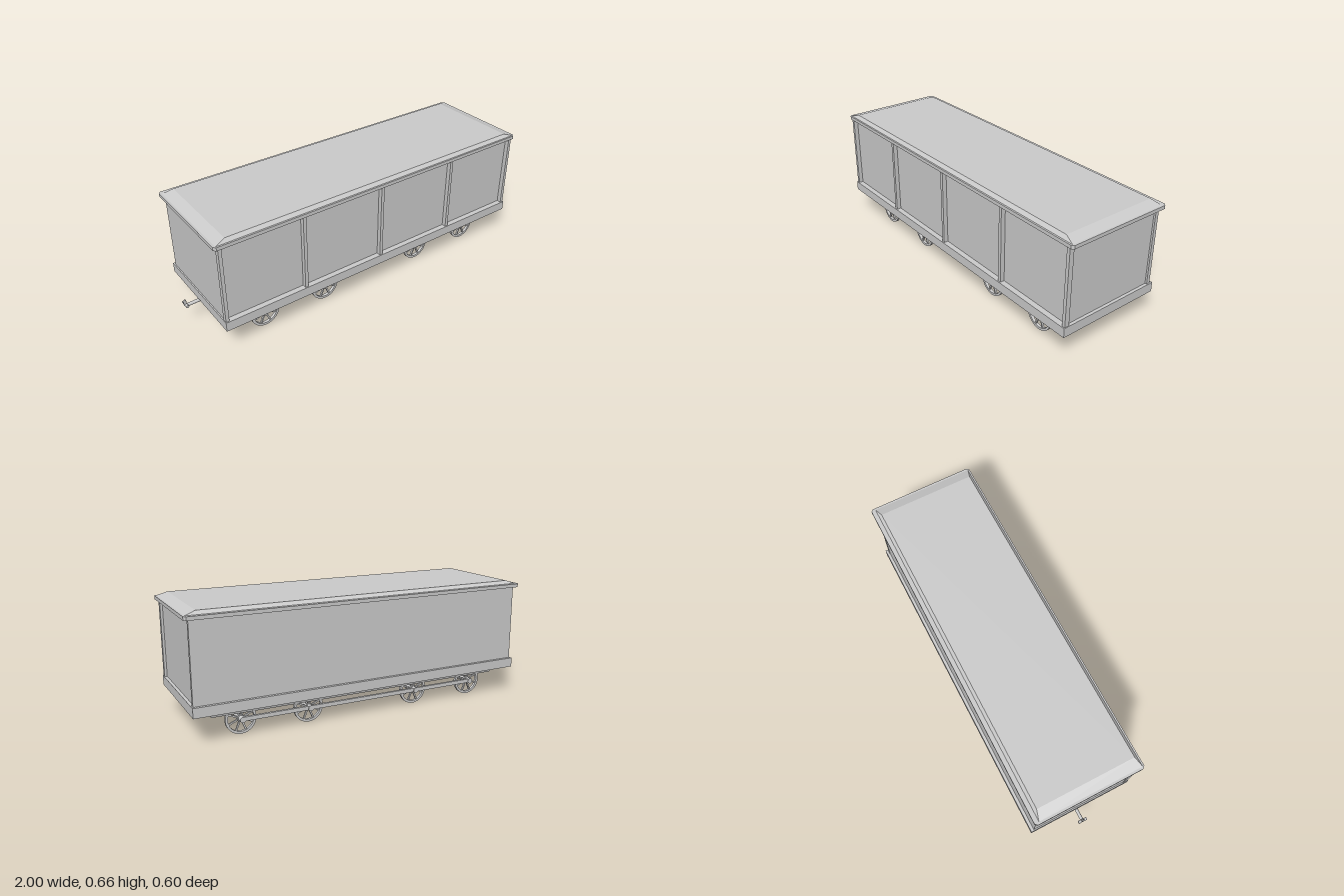
import * as THREE from 'three';

const mat = new THREE.MeshStandardMaterial({ color: 0xcccccc, flatShading: true });
const smooth = new THREE.MeshStandardMaterial({ color: 0xcccccc });

export function createModel() {
  const model = new THREE.Group();

  const add = (name, geometry, parent = model, material = mat) => {
    const mesh = new THREE.Mesh(geometry, material);
    mesh.name = name;
    parent.add(mesh);
    return mesh;
  };

  // Box given by its limits on each axis
  const box = (name, x0, x1, y0, y1, z0, z1, parent) => {
    const mesh = add(name, new THREE.BoxGeometry(x1 - x0, y1 - y0, z1 - z0), parent);
    mesh.position.set((x0 + x1) / 2, (y0 + y1) / 2, (z0 + z1) / 2);
    return mesh;
  };

  // Box whose top (grow > 0: bottom) is drawn in by dx and dz on every side
  const taperedBox = (name, x0, x1, y0, y1, z0, z1, dx, dz, narrowTop) => {
    const mesh = box(name, x0, x1, y0, y1, z0, z1);
    const p = mesh.geometry.attributes.position;
    for (let i = 0; i < p.count; i++) {
      if ((p.getY(i) > 0) !== narrowTop) continue;
      p.setX(i, p.getX(i) - Math.sign(p.getX(i)) * dx);
      p.setZ(i, p.getZ(i) - Math.sign(p.getZ(i)) * dz);
    }
    mesh.geometry.computeVertexNormals();
    return mesh;
  };

  // Cylinder between two points
  const rod = (name, a, b, radius, sides = 16, parent = model) => {
    const from = new THREE.Vector3(...a), to = new THREE.Vector3(...b);
    const dir = to.clone().sub(from);
    const mesh = add(name, new THREE.CylinderGeometry(radius, radius, dir.length(), sides), parent, smooth);
    mesh.position.copy(from).add(to).multiplyScalar(0.5);
    mesh.quaternion.setFromUnitVectors(new THREE.Vector3(0, 1, 0), dir.normalize());
    return mesh;
  };

  // Body: sill, walls, and posts dividing the front into four panels
  box('sill', -0.915, 0.978, 0.15, 0.202, -0.295, 0.302);
  box('walls', -0.908, 0.962, 0.2, 0.624, -0.278, 0.272);
  for (const x of [-0.903, -0.45, 0.03, 0.51, 0.966])
    box('frontPost', x - 0.009, x + 0.009, 0.2, 0.624, 0.27, 0.296);
  box('backCornerPost', 0.95, 0.972, 0.2, 0.624, -0.28, -0.26);

  // Roof: slab with softened corners and a low hipped cap
  const slab = new THREE.Shape();
  const c = 0.012;
  slab.moveTo(-0.932 + c, -0.302);
  [[0.996 - c, -0.302], [0.996, -0.302 + c], [0.996, 0.302 - c], [0.996 - c, 0.302],
    [-0.932 + c, 0.302], [-0.932, 0.302 - c], [-0.932, -0.302 + c]].forEach(([x, z]) => slab.lineTo(x, z));
  slab.closePath();
  const slabMesh = add('roofSlab', new THREE.ExtrudeGeometry(slab, { depth: 0.019, bevelEnabled: false }));
  slabMesh.rotation.x = -Math.PI / 2;
  slabMesh.position.y = 0.622;
  taperedBox('roofCap', -0.92, 0.985, 0.641, 0.659, -0.278, 0.293, 0.055, 0.016, true);

  // Underframe, narrowing downward
  taperedBox('underframe', -0.84, 0.9, 0.113, 0.15, -0.232, 0.248, 0.03, 0.01, false);

  // Spoked wheel facing z
  const wheelRim = new THREE.Shape().absarc(0, 0, 0.081, 0, Math.PI * 2);
  wheelRim.holes.push(new THREE.Path().absarc(0, 0, 0.068, 0, Math.PI * 2, true));
  const rimGeometry = new THREE.ExtrudeGeometry(wheelRim, { depth: 0.016, bevelEnabled: false, curveSegments: 16 });
  rimGeometry.translate(0, 0, -0.008);
  const wheelAt = (x, z) => {
    const wheel = new THREE.Group();
    wheel.name = 'wheel';
    add('rim', rimGeometry, wheel);
    for (let i = 0; i < 8; i++) {
      const a = (i * Math.PI) / 4 + Math.PI / 8;
      const spoke = add('spoke', new THREE.BoxGeometry(0.06, 0.008, 0.01), wheel);
      spoke.position.set(Math.cos(a) * 0.042, Math.sin(a) * 0.042, 0);
      spoke.rotation.z = a;
    }
    rod('hub', [0, 0, -0.011], [0, 0, 0.011], 0.019, 16, wheel);
    wheel.position.set(x, 0.083, z);
    model.add(wheel);
  };

  // Four axles with a wheel at each end
  const axles = [-0.655, -0.285, 0.353, 0.72];
  for (const x of axles) {
    wheelAt(x, 0.208);
    wheelAt(x, -0.208);
    rod('axle', [x, 0.085, 0.222], [x, 0.085, -0.25], 0.015);
  }

  // Side rods linking the wheels
  box('frontSideRod', axles[0], axles[3], 0.077, 0.098, 0.21, 0.222);
  box('backSideRod', axles[0], axles[3], 0.077, 0.098, -0.247, -0.232);

  // Coupling: drawbar ending in an upturned hook with a crosspiece
  rod('drawbar', [-0.8, 0.133, -0.015], [-0.97, 0.133, -0.015], 0.009, 12);
  const hook = new THREE.CatmullRomCurve3([[-0.965, 0.133], [-0.982, 0.136], [-0.984, 0.155], [-0.992, 0.174]]
    .map(([x, y]) => new THREE.Vector3(x, y, -0.015)));
  add('couplingHook', new THREE.TubeGeometry(hook, 12, 0.008, 8), model, smooth);
  rod('couplingCrosspiece', [-0.982, 0.14, -0.04], [-0.982, 0.14, 0.01], 0.008, 10);

  return model;
}
